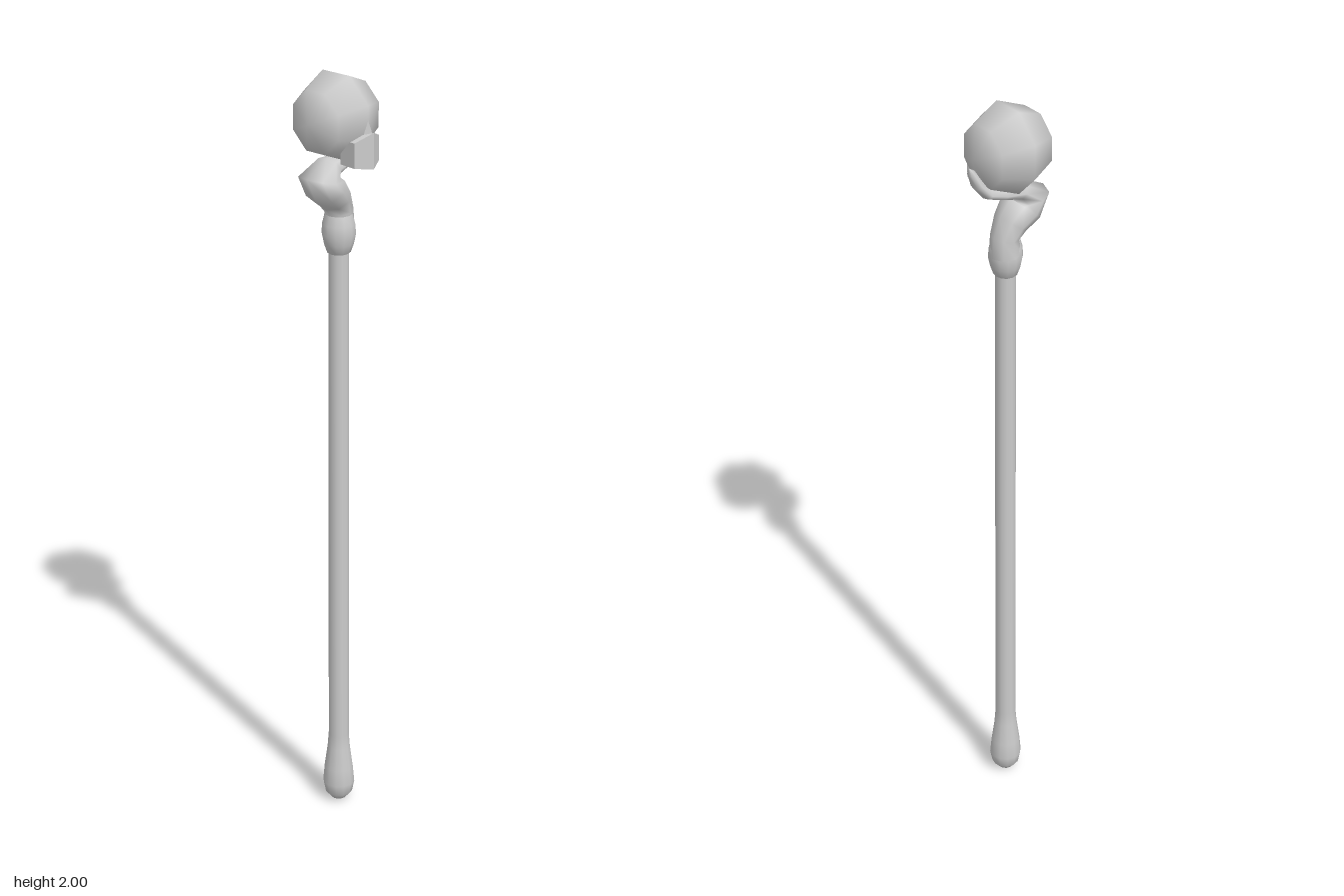
import * as THREE from 'three';

const material = new THREE.MeshStandardMaterial({ color: 0xcccccc, side: THREE.DoubleSide });
const flatMaterial = new THREE.MeshStandardMaterial({ color: 0xcccccc, flatShading: true });

function addPart(group, name, geometry, mat = material) {
  const mesh = new THREE.Mesh(geometry, mat);
  mesh.name = name;
  group.add(mesh);
  return mesh;
}

// Lathe from [radius, height] pairs, bottom to top
function turned(profile, sides) {
  return new THREE.LatheGeometry(profile.map(([r, y]) => new THREE.Vector2(r, y)), sides);
}

// Loft of oval rings along a path in the xy plane: [x, y, radius in plane, radius in z]
function loft(rings, sides, z) {
  const positions = [];
  const index = [];
  rings.forEach(([x, y, a, b], i) => {
    const p = rings[Math.max(i - 1, 0)];
    const n = rings[Math.min(i + 1, rings.length - 1)];
    const tangent = new THREE.Vector2(n[0] - p[0], n[1] - p[1]).normalize();
    for (let j = 0; j < sides; j++) {
      const angle = (j / sides) * Math.PI * 2;
      const c = Math.cos(angle) * a;
      positions.push(x + tangent.y * c, y - tangent.x * c, z - Math.sin(angle) * b);
      if (i === 0) continue;
      const k = (j + 1) % sides;
      const lo = (i - 1) * sides;
      const hi = i * sides;
      index.push(lo + j, lo + k, hi + j, lo + k, hi + k, hi + j);
    }
  });
  const geometry = new THREE.BufferGeometry();
  geometry.setAttribute('position', new THREE.Float32BufferAttribute(positions, 3));
  geometry.setIndex(index);
  geometry.computeVertexNormals();
  return geometry;
}

export function createModel() {
  const group = new THREE.Group();

  // Long shaft swelling into a rounded foot
  addPart(group, 'shaft', turned([
    [0, 0], [0.02, 0.006], [0.036, 0.025], [0.042, 0.055], [0.038, 0.1],
    [0.03, 0.16], [0.027, 0.2], [0.026, 1.57],
  ], 12));

  // Bulging collar at the top of the shaft
  addPart(group, 'collar', turned([
    [0.02, 1.545], [0.03, 1.552], [0.038, 1.575], [0.043, 1.6], [0.041, 1.625], [0.034, 1.65],
  ], 12));

  // Swaying neck that folds over and tapers into an upturned claw
  addPart(group, 'neck', loft([
    [0.005, 1.61, 0.04, 0.04],
    [0.008, 1.655, 0.034, 0.037],
    [-0.01, 1.69, 0.039, 0.047],
    [-0.043, 1.723, 0.045, 0.06],
    [-0.067, 1.75, 0.045, 0.055],
    [-0.03, 1.775, 0.024, 0.04],
    [0.02, 1.78, 0.016, 0.03],
    [0.065, 1.795, 0.015, 0.027],
    [0.09, 1.825, 0.014, 0.02],
    [0.107, 1.86, 0.01, 0.012],
    [0.115, 1.875, 0, 0],
  ], 8, -0.006));

  // Faceted cranium with its poles at the temples
  const cranium = new THREE.SphereGeometry(0.115, 8, 4);
  cranium.rotateY(Math.PI / 8);
  cranium.rotateZ(Math.PI / 2);
  cranium.scale(0.92, 1, 0.95);
  cranium.translate(0, 1.894, -0.009);
  addPart(group, 'cranium', cranium);

  // Wedge-fronted upper jaw
  const outline = [[-0.04, 0.04], [-0.046, 0.088], [0, 0.11], [0.046, 0.088], [0.04, 0.04]];
  const jawShape = new THREE.Shape(outline.map(([x, z]) => new THREE.Vector2(x, -z)));
  const jaw = new THREE.ExtrudeGeometry(jawShape, { depth: 0.083, bevelEnabled: false });
  jaw.rotateX(-Math.PI / 2);
  jaw.translate(0, 1.792, 0);
  // Chin dips in the middle and the brow edge leans back into the face
  const p = jaw.attributes.position;
  for (let i = 0; i < p.count; i++) {
    const middle = Math.abs(p.getX(i)) < 0.01;
    if (p.getY(i) < 1.8 && middle) p.setY(i, 1.784);
    if (p.getY(i) > 1.8 && !middle) p.setY(i, 1.855);
  }
  jaw.computeVertexNormals();
  addPart(group, 'jaw', jaw, flatMaterial);

  // Small three-sided nose ridge
  const nose = new THREE.ConeGeometry(0.022, 0.05, 3);
  nose.translate(0, 1.888, 0.087);
  addPart(group, 'nose', nose, flatMaterial);

  return group;
}
